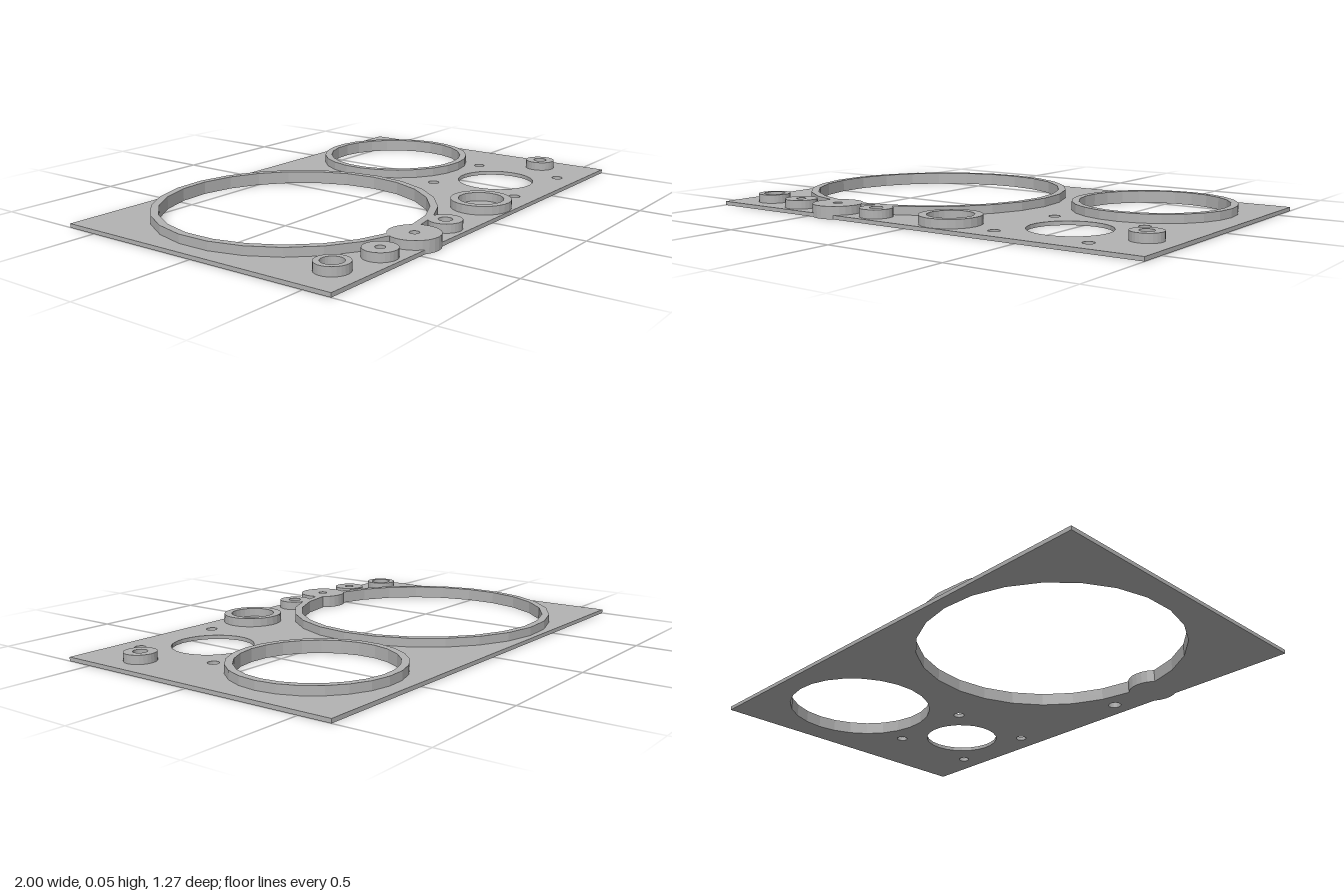
import * as THREE from 'three';

const SIDES = 25;
const PLATE = 0.016; // plate thickness
const TOP = 0.051;   // height of the raised collars

// Faceted circle in plan; z points toward the front
function circle(x, z, r, PathType = THREE.Path) {
  const pts = [];
  for (let i = 0; i < SIDES; i++) {
    const a = (i / SIDES) * Math.PI * 2;
    pts.push(new THREE.Vector2(x + r * Math.cos(a), -z + r * Math.sin(a)));
  }
  return new PathType(pts);
}

export function createModel() {
  const model = new THREE.Group();
  model.name = 'instrumentPanel';
  const grey = new THREE.MeshStandardMaterial({ color: 0xb2b2b2 });
  grey.name = 'panel grey';

  // Extrude a plan shape upward between two heights
  function slab(name, shape, y0, y1) {
    const geo = new THREE.ExtrudeGeometry(shape, { depth: y1 - y0, bevelEnabled: false });
    geo.rotateX(-Math.PI / 2);
    geo.translate(0, y0, 0);
    const mesh = new THREE.Mesh(geo, grey);
    mesh.name = name;
    model.add(mesh);
  }

  function collar(name, x, z, outer, inner) {
    const shape = circle(x, z, outer, THREE.Shape);
    shape.holes.push(circle(x, z, inner));
    slab(name, shape, PLATE, TOP);
  }

  // Base plate with all through openings
  const plate = new THREE.Shape([
    new THREE.Vector2(-1, -0.615), new THREE.Vector2(1, -0.615),
    new THREE.Vector2(1, 0.635), new THREE.Vector2(-1, 0.635),
  ]);
  const openings = [
    [-0.377, -0.055, 0.526], [0.583, -0.243, 0.302], [0.54, 0.32, 0.162], [-0.211, 0.532, 0.027],
  ];
  for (const x of [0.345, 0.738]) for (const z of [0.123, 0.519]) openings.push([x, z, 0.023]);
  for (const [x, z, r] of openings) plate.holes.push(circle(x, z, r));
  slab('basePlate', plate, 0, PLATE);

  // Dial rims
  collar('largeDialRim', -0.377, -0.055, 0.557, 0.526);
  collar('smallDialRim', 0.583, -0.243, 0.332, 0.302);

  // Control bosses along the front
  collar('cornerBoss', -0.834, 0.489, 0.066, 0.043);
  collar('switchBoss', -0.626, 0.532, 0.066, 0.019);
  collar('throughBoss', -0.211, 0.532, 0.066, 0.027);
  collar('socketBoss', 0.123, 0.489, 0.122, 0.09);
  collar('sideBoss', 0.874, 0.364, 0.063, 0.028);

  // Wide knob boss overlapping the dial opening and front edge
  slab('knobBossFoot', circle(-0.417, 0.532, 0.1, THREE.Shape), 0, PLATE);
  collar('knobBoss', -0.417, 0.532, 0.1, 0.019);

  return model;
}
